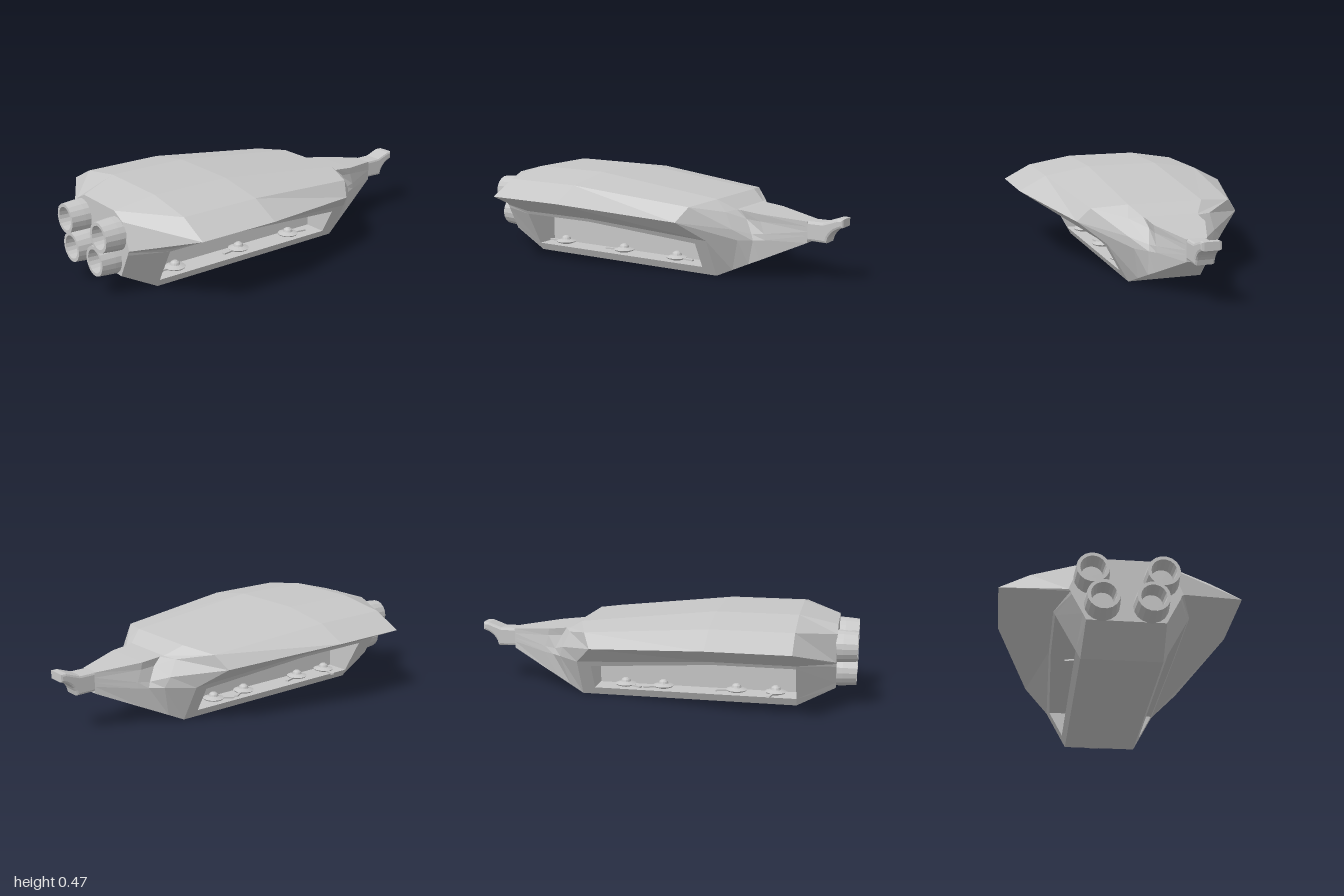
import * as THREE from 'three';

const hullGray = new THREE.MeshStandardMaterial({ color: 0xc6c6c6, flatShading: true, side: THREE.DoubleSide });
hullGray.name = 'hullGray';

function addMesh(parent, name, geometry) {
  const mesh = new THREE.Mesh(geometry, hullGray);
  mesh.name = name;
  parent.add(mesh);
  return mesh;
}

// Collects quads on the +z side and mirrors each one to -z
function mirroredSurface() {
  const pos = [];
  const push = (a, b, c, d) => pos.push(...a, ...b, ...c, ...a, ...c, ...d);
  const flip = ([x, y, z]) => [x, y, -z];
  const s = {
    quad(a, b, c, d) {
      push(a, b, c, d);
      push(flip(d), flip(c), flip(b), flip(a));
    },
    // rings run along +x, the points of each ring run downwards
    loft(rings, skip = () => false) {
      for (let i = 0; i + 1 < rings.length; i++)
        for (let j = 0; j + 1 < rings[i].length; j++)
          if (!skip(i, j)) s.quad(rings[i][j], rings[i][j + 1], rings[i + 1][j + 1], rings[i + 1][j]);
    },
    // strips across the centre line joining a row to its mirror image
    bridge(row) {
      for (let i = 0; i + 1 < row.length; i++) push(row[i], row[i + 1], flip(row[i + 1]), flip(row[i]));
    },
    build() {
      const g = new THREE.BufferGeometry();
      g.setAttribute('position', new THREE.Float32BufferAttribute(pos, 3));
      g.computeVertexNormals();
      return g;
    },
  };
  return s;
}

const wallZ = (y) => 0.19 + 0.543 * y; // sloping lower side wall
const wall = (x, y) => [x, y, wallZ(y)];

function createHull(group) {
  // Upper hull: top edge, shoulder, wing tip, underside edge
  const upper = [
    [[-0.9, 0.415, 0.14], [-0.9, 0.38, 0.21], [-0.9, 0.25, 0.26], [-0.9, 0.24, 0.25]],
    [[-0.71, 0.465, 0.19], [-0.71, 0.425, 0.43], [-0.71, 0.35, 0.575], wall(-0.71, 0.235)],
    [[-0.3, 0.465, 0.19], [-0.3, 0.425, 0.43], [-0.3, 0.35, 0.575], wall(-0.3, 0.235)],
    [[0.4, 0.385, 0.19], [0.34, 0.365, 0.36], [0.3, 0.295, 0.42], wall(0.4, 0.195)],
  ];
  // Lower walls: underside edge, bay top, bay bottom, keel edge
  const lower = [
    [upper[0][3], [-0.9, 0.225, 0.245], [-0.9, 0.13, 0.195], [-0.9, 0.1, 0.18]],
    [-0.71, 0.235, 0.218], [-0.3, 0.235, 0.218], [0.33, 0.199, 0.172], [0.4, 0.195, 0.167],
  ].map((r, i) => i === 0 ? r : [wall(r[0], r[1]), wall(r[0], r[2]), wall(r[0], 0.04), wall(r[0], 0)]);

  const body = mirroredSurface();
  body.loft(upper);
  body.loft(lower, (i, j) => j === 1 && (i === 1 || i === 2));
  body.bridge(upper.map((r) => r[0]));
  body.bridge(lower.map((r) => r[3]).reverse());
  body.bridge([...lower[0]].reverse().concat([upper[0][2], upper[0][1], upper[0][0]]));
  addMesh(group, 'hull', body.build());

  // Open bays let into both lower walls
  const bay = mirroredSurface();
  const bayRings = lower.slice(1, 4).map(([, top, bottom]) => [
    top, [top[0], top[1], 0.09], [top[0], 0.04, 0.09], bottom,
  ]);
  bay.loft(bayRings);
  bay.quad(...[...bayRings[0]].reverse());
  bay.quad(...bayRings[2]);
  addMesh(group, 'hangarBays', bay.build());

  // Faceted collar and tapering nose
  const front = [...upper[3], wall(0.4, 0)];
  const nose = [
    front,
    [[0.48, 0.335, 0.14], [0.46, 0.33, 0.21], [0.5, 0.25, 0.22], [0.52, 0.195, 0.2], [0.475, 0.034, 0.165]],
    [[0.5, 0.333, 0.135], [0.53, 0.29, 0.127], [0.565, 0.22, 0.14], [0.575, 0.19, 0.145], [0.55, 0.068, 0.14]],
    [0.295, 0.27, 0.245, 0.225, 0.19].map((y) => [0.82, y, 0.05]),
  ];
  // keep the nose roof wide up to its shoulder
  nose.splice(3, 0, [[0.6, 0.322, 0.13], [0.605, 0.285, 0.125], [0.625, 0.225, 0.125], [0.63, 0.195, 0.125], [0.6, 0.09, 0.123]]);
  const snout = mirroredSurface();
  snout.loft(nose);
  snout.bridge(nose.map((r) => r[0]));
  snout.bridge(nose.map((r) => r[4]).reverse());
  snout.bridge([...nose[4]]);
  addMesh(group, 'nose', snout.build());
}

// Upturned spout at the very front
function createProw(group) {
  const b = 0.012;
  const shape = new THREE.Shape();
  shape.moveTo(0.8, 0.2 + b);
  shape.lineTo(0.92 - b, 0.198 + b);
  shape.lineTo(0.925 - b, 0.228);
  shape.quadraticCurveTo(0.935, 0.275, 0.988, 0.29);
  shape.lineTo(0.988, 0.31);
  shape.lineTo(0.972, 0.31);
  shape.lineTo(0.9, 0.284);
  shape.lineTo(0.8, 0.284);
  const g = new THREE.ExtrudeGeometry(shape, {
    depth: 0.1 - 2 * b, bevelEnabled: true, bevelSize: b, bevelThickness: b, bevelSegments: 2, curveSegments: 5,
  });
  g.translate(0, 0, -0.05 + b);
  addMesh(group, 'prow', g);
}

// Four hollow engine nozzles
function createEngines(group) {
  const profile = [[0.082, -0.04], [0.08, 0.03], [0.074, 0.1], [0.058, 0.1], [0.05, 0.02], [0, 0.02]]
    .map(([r, h]) => new THREE.Vector2(r, h));
  for (const side of [-1, 1])
    for (const [y, z, name] of [[0.31, 0.158, 'upperEngine'], [0.178, 0.11, 'lowerEngine']]) {
      const nozzle = addMesh(group, name, new THREE.LatheGeometry(profile, 18));
      nozzle.rotation.z = Math.PI / 2;
      nozzle.position.set(-0.9, y, side * z);
    }
}

// Small saucer with a dome and a forward boom
function createSaucer(group, x, z, heading) {
  const saucer = new THREE.Group();
  saucer.name = 'saucer';
  const profile = [[0, 0], [0.025, 0], [0.05, 0.009], [0.054, 0.015], [0.026, 0.025], [0.022, 0.036], [0.011, 0.044], [0, 0.045]]
    .map(([r, h]) => new THREE.Vector2(r, h));
  addMesh(saucer, 'saucerBody', new THREE.LatheGeometry(profile, 16));
  addMesh(saucer, 'saucerBoom', new THREE.BoxGeometry(0.065, 0.008, 0.016)).position.set(0.075, 0.012, 0);
  saucer.position.set(x, 0.041, z);
  saucer.rotation.y = heading;
  group.add(saucer);
}

export function createModel() {
  const model = new THREE.Group();
  model.name = 'carrierShip';
  createHull(model);
  createProw(model);
  createEngines(model);
  for (const [x, z, heading] of [
    [-0.58, 0.148, Math.PI], [-0.19, 0.148, 3.3], [0.14, 0.148, -0.15],
    [0.18, -0.148, 2.6], [-0.02, -0.148, 0.5], [-0.4, -0.148, 0.3], [-0.6, -0.148, 1.3],
  ]) createSaucer(model, x, z, heading);
  return model;
}
